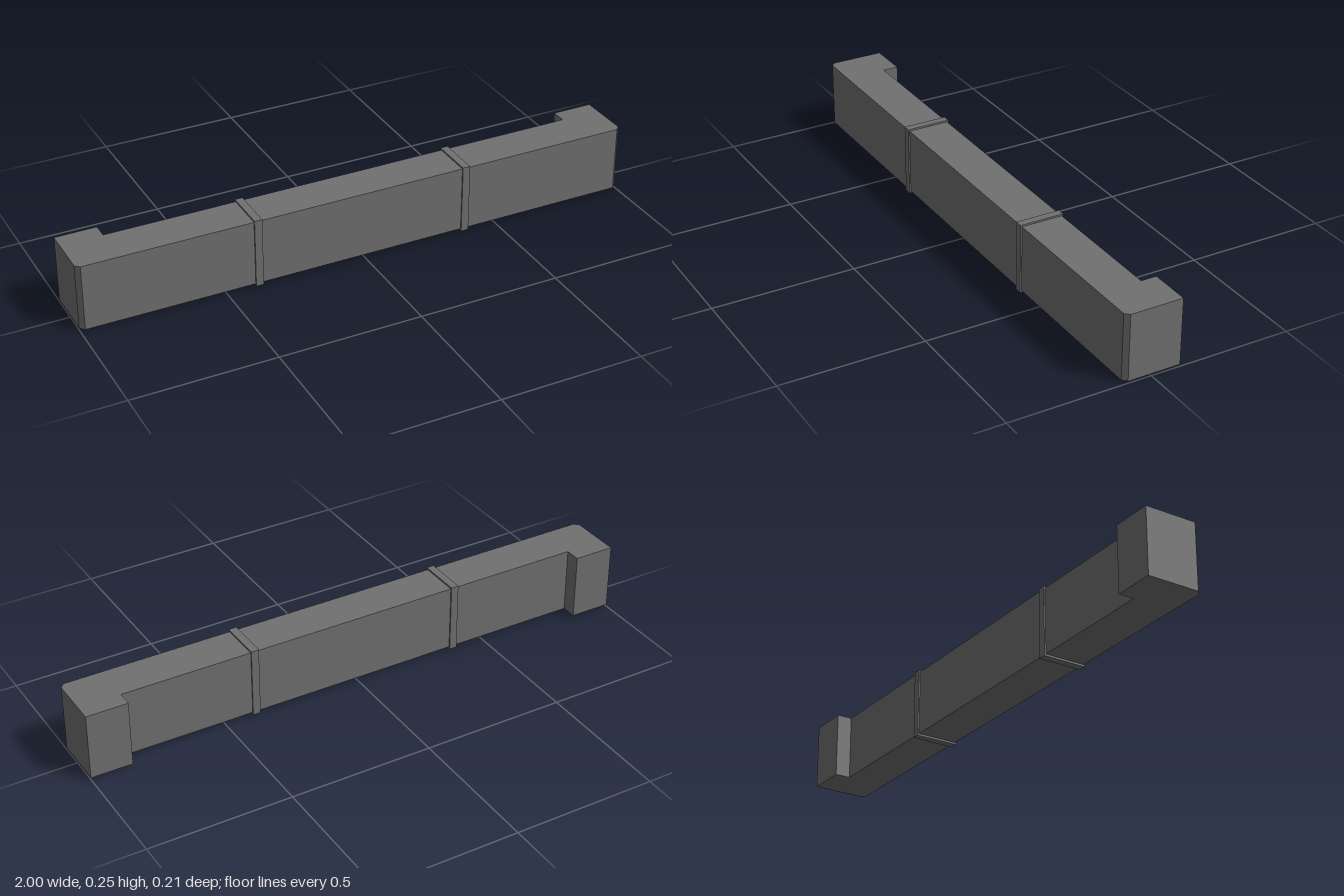
import * as THREE from 'three';

const BOTTOM = 0.007, HEIGHT = 0.234;   // beam
const FRONT = 0.098, BACK = -0.048, RETURN_BACK = -0.103;
const CHAMFER = 0.015, RETURN_INNER = 0.855;

export function createModel() {
  const group = new THREE.Group();
  const grey = new THREE.MeshStandardMaterial({ color: 0x707070 });
  grey.name = 'grey';

  // Beam with chamfered front corners and a return at each end (plan, y = -z)
  const half = [
    [1 - CHAMFER, FRONT], [1, FRONT - CHAMFER], [1, RETURN_BACK],
    [RETURN_INNER, RETURN_BACK], [RETURN_INNER, BACK],
  ];
  const plan = [...half, ...half.map(([x, z]) => [-x, z]).reverse()];
  const shape = new THREE.Shape(plan.map(([x, z]) => new THREE.Vector2(x, -z)));
  const beamGeometry = new THREE.ExtrudeGeometry(shape, { depth: HEIGHT, bevelEnabled: false });
  beamGeometry.rotateX(-Math.PI / 2);
  const beam = new THREE.Mesh(beamGeometry, grey);
  beam.name = 'beam';
  beam.position.y = BOTTOM;
  group.add(beam);

  // Thin bands wrapped around the beam
  const bandGeometry = new THREE.BoxGeometry(0.027, 0.247, 0.156);
  for (const side of [-1, 1]) {
    const band = new THREE.Mesh(bandGeometry, grey);
    band.name = side > 0 ? 'leftBand' : 'rightBand';
    band.position.set(side * 0.383, 0.1235, 0.025);
    group.add(band);
  }
  return group;
}
